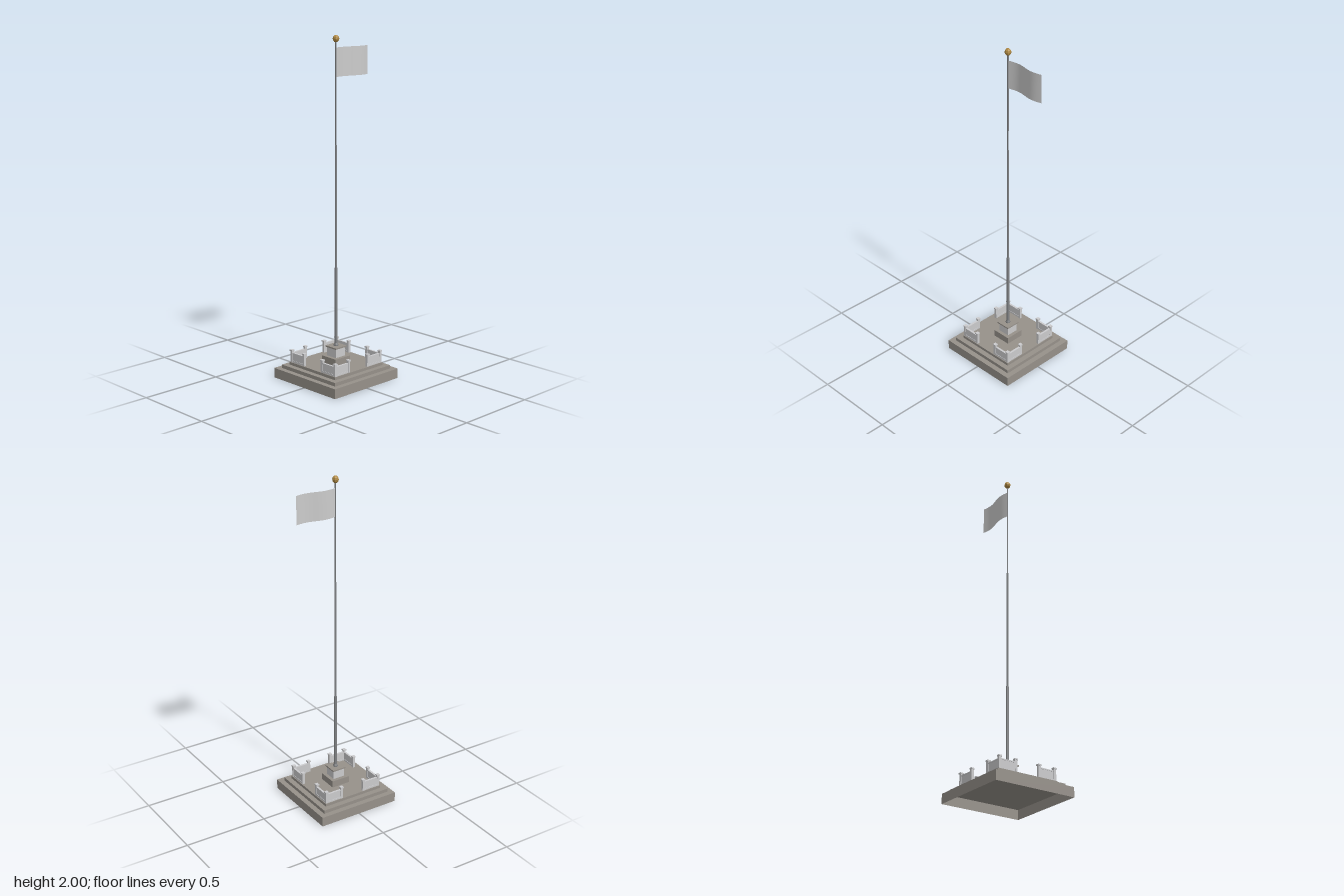
import * as THREE from 'three';

const mat = (name, color, extra = {}) => {
  const m = new THREE.MeshStandardMaterial({ color, ...extra });
  m.name = name;
  return m;
};

export function createModel() {
  const stone = mat('stone', 0x96918a);
  const stoneShell = mat('stone', 0x96918a, { side: THREE.DoubleSide });
  const pale = mat('paleStone', 0xcbcbcd);
  const steel = mat('steel', 0x808284, { flatShading: true });
  const gold = mat('gold', 0xb08a44, { flatShading: true });
  const cloth = mat('cloth', 0xcccccc, { side: THREE.DoubleSide });

  const model = new THREE.Group();
  model.name = 'flagpole';

  const add = (parent, name, geometry, material, x = 0, y = 0, z = 0) => {
    const mesh = new THREE.Mesh(geometry, material);
    mesh.name = name;
    mesh.position.set(x, y, z);
    parent.add(mesh);
    return mesh;
  };
  // Box given by its bottom and top heights
  const block = (parent, name, w, d, y0, y1, material, x = 0, z = 0) =>
    add(parent, name, new THREE.BoxGeometry(w, y1 - y0, d), material, x, (y0 + y1) / 2, z);

  // Lowest tier is a shell, open underneath
  const shell = new THREE.BoxGeometry(0.512, 0.058, 0.512);
  const index = Array.from(shell.index.array);
  index.splice(18, 6);
  shell.setIndex(index);
  shell.clearGroups();
  add(model, 'baseTier', shell, stoneShell, 0, 0.029, 0);

  // Upper tiers and pedestal
  block(model, 'middleTier', 0.448, 0.448, 0.058, 0.079, stone);
  block(model, 'topTier', 0.384, 0.384, 0.079, 0.096, stone);
  block(model, 'pedestalFoot', 0.116, 0.116, 0.096, 0.137, stone);
  block(model, 'pedestalBlock', 0.074, 0.074, 0.137, 0.19, pale);
  block(model, 'pedestalCap', 0.088, 0.088, 0.19, 0.198, stone);

  // L-shaped balustrade at each corner
  const post = (parent, x, z) => {
    block(parent, 'post', 0.015, 0.015, 0.096, 0.163, pale, x, z);
    block(parent, 'postCap', 0.0205, 0.0205, 0.163, 0.171, pale, x, z);
  };
  const far = 0.181, near = 0.077, mid = (far + near) / 2, len = far - near - 0.014;
  for (let i = 0; i < 4; i++) {
    const corner = new THREE.Group();
    corner.name = 'cornerBalustrade';
    corner.rotation.y = (i * Math.PI) / 2;
    post(corner, far, far);
    post(corner, near, far);
    post(corner, far, near);
    for (const alongX of [true, false]) {
      const bar = (name, t, y0, y1) =>
        block(corner, name, alongX ? len : t, alongX ? t : len, y0, y1, pale,
          alongX ? mid : far, alongX ? far : mid);
      bar('bottomRail', 0.0125, 0.096, 0.107);
      bar('panel', 0.008, 0.107, 0.147);
      bar('topRail', 0.0125, 0.147, 0.154);
    }
    model.add(corner);
  }

  // Stepped pole with a flared collar at its foot
  const profile = [[0.014, 0.198], [0.014, 0.204], [0.009, 0.215], [0.009, 0.665], [0.0068, 0.665],
    [0.0068, 1.38], [0.0042, 1.38], [0.0042, 1.965]];
  add(model, 'pole', new THREE.LatheGeometry(profile.map(([r, y]) => new THREE.Vector2(r, y)), 8), steel);

  // Finial
  const finial = add(model, 'finial', new THREE.SphereGeometry(0.0187, 8, 6), gold, 0, 1.979, 0);
  finial.scale.y = 0.021 / 0.0187;

  // Waving flag
  const length = 0.246;
  const flag = new THREE.PlaneGeometry(length, 0.165, 16, 1);
  flag.translate(length / 2, 0, 0);
  const p = flag.attributes.position;
  for (let i = 0; i < p.count; i++) {
    p.setZ(i, -0.0095 * Math.sin((p.getX(i) / length) * Math.PI * 2));
  }
  flag.computeVertexNormals();
  add(model, 'flag', flag, cloth, 0.004, 1.847, 0);

  return model;
}
